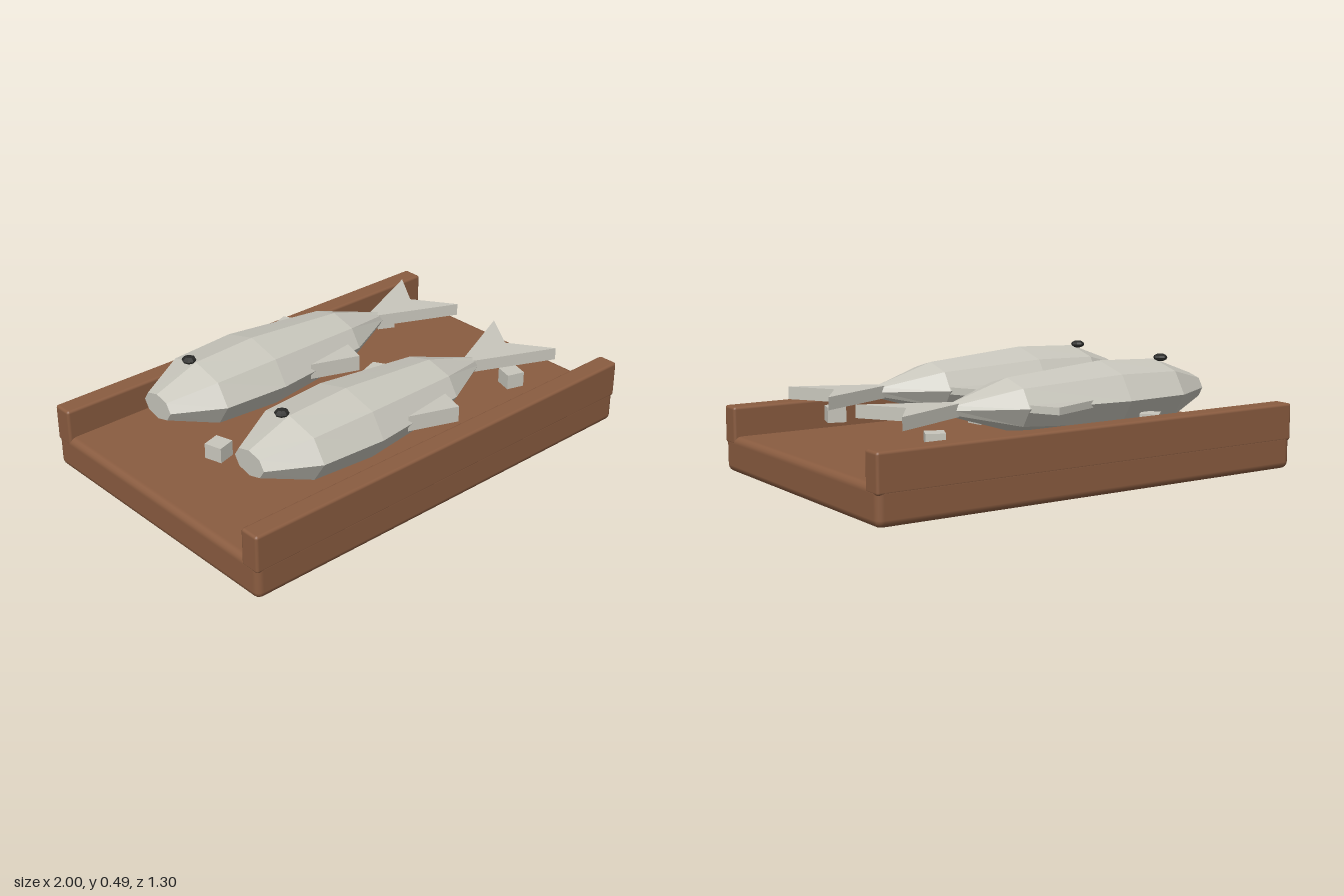
import * as THREE from 'three';
import { RoundedBoxGeometry } from 'three/addons/geometries/RoundedBoxGeometry.js';

const wood = new THREE.MeshStandardMaterial({ color: 0x8a5c40 });
wood.name = 'wood';
const silver = new THREE.MeshStandardMaterial({ color: 0xc8c6bc, flatShading: true });
silver.name = 'silver';
const dark = new THREE.MeshStandardMaterial({ color: 0x2a2a28, flatShading: true });
dark.name = 'eyeDark';

function part(parent, name, geometry, material, x = 0, y = 0, z = 0) {
  const mesh = new THREE.Mesh(geometry, material);
  mesh.name = name;
  mesh.position.set(x, y, z);
  parent.add(mesh);
  return mesh;
}

// Body stations from nose to tail: [x, half height, half width]
const STATIONS = [
  [-0.75, 0.055, 0.087],
  [-0.55, 0.13, 0.202],
  [-0.26, 0.143, 0.219],
  [0.2, 0.107, 0.163],
  [0.46, 0.027, 0.032],
];

// Eight-sided tube whose rings are fitted to the stations
function bodyGeometry() {
  const g = new THREE.CylinderGeometry(1, 1, 1, 8, STATIONS.length - 1).rotateZ(Math.PI / 2);
  const p = g.attributes.position;
  for (let i = 0; i < p.count; i++) {
    const [x, h, w] = STATIONS[Math.round((p.getX(i) + 0.5) * (STATIONS.length - 1))];
    p.setXYZ(i, x, p.getY(i) * h, p.getZ(i) * w);
  }
  g.computeVertexNormals();
  return g;
}

// Flat plate outlined by [x, z] points, centred on y = 0
function plate(points, thickness) {
  const shape = new THREE.Shape(points.map(([x, z]) => new THREE.Vector2(x, -z)));
  return new THREE.ExtrudeGeometry(shape, { depth: thickness, bevelEnabled: false })
    .translate(0, 0, -thickness / 2)
    .rotateX(-Math.PI / 2);
}

function createFish(name, z) {
  const fish = new THREE.Group();
  fish.name = name;
  fish.position.set(0, 0.333, z);
  part(fish, 'body', bodyGeometry(), silver);
  part(fish, 'tailFin', plate([
    [0.44, -0.025], [0.785, -0.18], [0.663, 0], [0.785, 0.18], [0.44, 0.025],
  ], 0.053), silver);
  part(fish, 'dorsalFin', plate([[-0.11, -0.182], [0.135, -0.267], [0.2, -0.15]], 0.03), silver);
  part(fish, 'sideFin', plate([[-0.1, 0.19], [0.105, 0.267], [0.14, 0.155]], 0.068), silver);
  part(fish, 'eye', new THREE.SphereGeometry(0.03, 8, 6).scale(1, 0.55, 1), dark, -0.565, 0.137, -0.026);
  return fish;
}

export function createModel() {
  const model = new THREE.Group();
  model.name = 'fishTray';

  // Tray base and its two long rails
  part(model, 'base', new RoundedBoxGeometry(2, 0.155, 1.3, 2, 0.03), wood, 0, 0.0775, 0);
  for (const [name, side] of [['frontRail', 1], ['backRail', -1]]) {
    part(model, name, new RoundedBoxGeometry(2, 0.16, 0.09, 2, 0.012), wood, 0, 0.2, side * 0.605);
  }

  model.add(createFish('frontFish', 0.305), createFish('backFish', -0.28));

  // Ice cubes: [x, z, turn]
  const cubes = [
    [-0.683, 0.027, 0.28],
    [0.132, 0.013, 0.15],
    [0.602, -0.388, -0.46],
    [-0.365, -0.49, 0.75],
    [0.617, 0.389, -0.3],
  ];
  cubes.forEach(([x, z, turn], i) => {
    const cube = part(model, 'iceCube' + (i + 1), new THREE.BoxGeometry(0.078, 0.065, 0.078), silver, x, 0.243, z);
    cube.rotation.y = turn;
  });

  return model;
}
